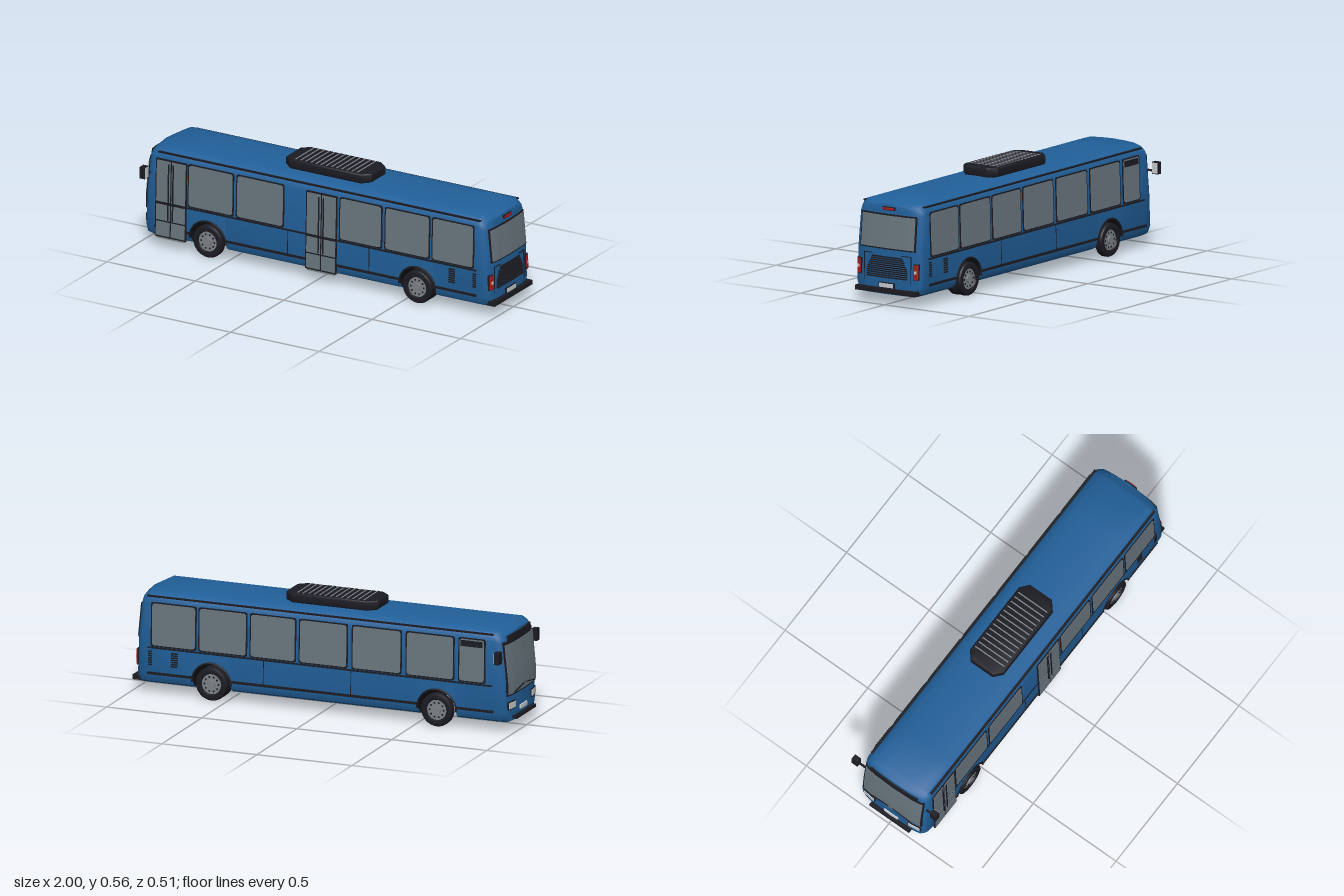
import * as THREE from 'three';
import { toCreasedNormals } from 'three/addons/utils/BufferGeometryUtils.js';

const mat = (name, color) => Object.assign(new THREE.MeshStandardMaterial({ color }), { name });

// Linear interpolation through [key, value] pairs with rising keys
function lookup(pairs, k) {
  for (let i = 1; i < pairs.length; i++) {
    const [a, va] = pairs[i - 1], [b, vb] = pairs[i];
    if (k <= b) return b === a ? vb : va + (vb - va) * Math.max(0, (k - a) / (b - a));
  }
  return pairs[pairs.length - 1][1];
}

// Half cross-section [height, half width]
const SECTION = [[0.05, 0], [0.05, 0.165], [0.062, 0.185], [0.1, 0.201], [0.3, 0.1948], [0.455, 0.19],
  [0.48, 0.183], [0.498, 0.165], [0.508, 0.13], [0.513, 0.07], [0.515, 0]];
// Rounded ends: [width factor, distance from middle, height factor]
const END = [[0, 0.982, 0.95], [0.6, 0.978, 0.95], [0.88, 0.97, 0.955], [0.95, 0.96, 0.968], [0.985, 0.945, 0.985], [1, 0.91, 1]];
const AXLES = [-0.61, 0.575], ARCH = 0.1, AXLE_Y = 0.084;

const halfWidth = (y) => lookup(SECTION.slice(1), y);
const sidePlane = (y) => 0.201 - 0.031 * (y - 0.1);
const lean = (y) => 0.09 * Math.max(0, y - 0.25);
const endPlane = (y, z) => lookup(END, Math.abs(z) / halfWidth(y)) - lean(y);

export function createModel() {
  const blue = mat('bodyBlue', 0x21609a), dark = mat('darkTrim', 0x1b1b23), glass = mat('greyGlass', 0x6a777f);
  const white = mat('lightGrey', 0xc9ced2), red = mat('lampRed', 0xa81c1c), metal = mat('wheelMetal', 0x7d8387);
  const well = mat('wheelWell', 0x17171c);
  well.side = THREE.DoubleSide;
  const bus = new THREE.Group();
  bus.name = 'bus';
  const add = (name, geo, m, x = 0, y = 0, z = 0, parent = bus) => {
    const mesh = new THREE.Mesh(geo, m);
    mesh.name = name;
    mesh.position.set(x, y, z);
    parent.add(mesh);
    return mesh;
  };
  const box = (name, x0, x1, y0, y1, z0, z1, m) =>
    add(name, new THREE.BoxGeometry(x1 - x0, y1 - y0, z1 - z0), m, (x0 + x1) / 2, (y0 + y1) / 2, (z0 + z1) / 2);

  // Body lofted along x, cut by the wheel arches
  const stations = END.map(([f, x, s]) => ({ x: -x, f, s, floor: 0 }));
  for (const c of AXLES) {
    stations.push({ x: c - ARCH, f: 1, s: 1, floor: 0 });
    for (let i = 0; i <= 16; i++) {
      const a = Math.PI * (1 - i / 16);
      stations.push({ x: c + ARCH * Math.cos(a), f: 1, s: 1, floor: AXLE_Y + ARCH * Math.sin(a), cut: true });
    }
    stations.push({ x: c + ARCH, f: 1, s: 1, floor: 0 });
  }
  for (const [f, x, s] of [...END].reverse()) stations.push({ x, f, s, floor: 0 });
  const n = SECTION.length, ring = 2 * n - 2, pos = [], bodyIdx = [], wellIdx = [];
  stations.forEach((st) => {
    for (let i = 0; i < ring; i++) {
      const k = i < n ? i : ring - i, level = SECTION[k], y = Math.max(level[0], st.floor);
      const w = y > level[0] && k > 0 ? halfWidth(y) : level[1];
      const yy = 0.05 + (y - 0.05) * st.s;
      const x = Math.abs(st.x) > 0.92 ? st.x - Math.sign(st.x) * lean(yy) : st.x;
      pos.push(x, yy, (i < n ? 1 : -1) * w * st.f);
    }
  });
  for (let s = 0; s + 1 < stations.length; s++) {
    for (let i = 0; i < ring; i++) {
      const j = (i + 1) % ring, a = s * ring + i, b = s * ring + j, c = a + ring, d = b + ring;
      const inWell = (i === 0 || i === ring - 1) && (stations[s].cut || stations[s + 1].cut);
      (inWell ? wellIdx : bodyIdx).push(a, c, b, b, c, d);
    }
  }
  for (const [name, idx, m] of [['body', bodyIdx, blue], ['wheelWells', wellIdx, well]]) {
    const g = new THREE.BufferGeometry();
    g.setAttribute('position', new THREE.Float32BufferAttribute(pos, 3));
    g.setIndex(idx);
    add(name, toCreasedNormals(g, 0.6), m);
  }

  // Thin rounded plate lying on a side wall
  function sidePlate(name, side, x0, x1, y0, y1, off, m, r = 0.002) {
    const [a, b] = side > 0 ? [x0, x1] : [-x1, -x0], sh = new THREE.Shape(), d = 0.006;
    sh.moveTo(a + r, y0).lineTo(b - r, y0).quadraticCurveTo(b, y0, b, y0 + r).lineTo(b, y1 - r);
    sh.quadraticCurveTo(b, y1, b - r, y1).lineTo(a + r, y1).quadraticCurveTo(a, y1, a, y1 - r);
    sh.lineTo(a, y0 + r).quadraticCurveTo(a, y0, a + r, y0);
    const g = new THREE.ExtrudeGeometry(sh, { depth: d, bevelEnabled: false, curveSegments: 4 });
    if (side < 0) g.rotateY(Math.PI);
    const p = g.attributes.position;
    for (let i = 0; i < p.count; i++) p.setZ(i, p.getZ(i) + side * (sidePlane(p.getY(i)) + off - d));
    g.computeVertexNormals();
    return add(name, g, m);
  }
  // Thin plate following the curved front (-1) or rear (+1)
  function endPlate(name, end, z0, z1, y0, y1, off, m) {
    const g = new THREE.BoxGeometry(0.008, y1 - y0, z1 - z0, 1, 4, 16);
    g.translate(0, (y0 + y1) / 2, (z0 + z1) / 2);
    const p = g.attributes.position;
    for (let i = 0; i < p.count; i++) p.setX(i, p.getX(i) + end * (endPlane(p.getY(i), p.getZ(i)) + off - 0.004));
    g.computeVertexNormals();
    return add(name, g, m);
  }

  // Side windows
  const shared = [[0.136, 0.37], [0.393, 0.64], [0.66, 0.89]];
  const windows = {
    1: [[-0.72, -0.47], [-0.447, -0.185], ...shared],
    '-1': [[-0.86, -0.727], [-0.697, -0.45], [-0.42, -0.166], [-0.136, 0.112], ...shared],
  };
  for (const side of [1, -1]) {
    for (const [a, b] of windows[side]) {
      sidePlate('windowFrame', side, a - 0.005, b + 0.005, 0.24, 0.462, 0.003, dark, 0.012);
      sidePlate('sideWindow', side, a + 0.002, b - 0.002, 0.247, 0.456, 0.005, glass, 0.015);
    }
    // Long trim lines, panel seams and engine vents
    sidePlate('beltLine', side, -0.9, 0.91, 0.23, 0.238, 0.004, dark);
    for (const [a, b] of [[-0.91, -0.715], [-0.505, 0.47], [0.68, 0.91]]) sidePlate('skirtLine', side, a, b, 0.1, 0.112, 0.005, dark);
    box('gutter', -0.9, 0.92, 0.484, 0.491, side > 0 ? 0.165 : -0.184, side > 0 ? 0.184 : -0.165, dark);
    for (const x of [-0.16, 0.3]) sidePlate('panelSeam', side, x, x + 0.004, 0.112, 0.23, 0.001, dark, 0.001);
    for (let i = 0; i < 7; i++) {
      sidePlate('sideVent', side, 0.752, 0.788, 0.145 + i * 0.011, 0.152 + i * 0.011, 0.003, dark);
      sidePlate('rearSideVent', side, 0.888, 0.908, 0.145 + i * 0.011, 0.152 + i * 0.011, 0.003, dark);
    }
  }
  sidePlate('driverWindowVent', -1, -0.85, -0.735, 0.42, 0.45, 0.007, dark);

  // Double doors on the kerb side
  for (const x of [-0.906, -0.056]) {
    sidePlate('doorFrame', 1, x, x + 0.176, 0.058, 0.46, 0.004, dark, 0.006);
    for (const leaf of [0, 1]) {
      const a = x + 0.007 + leaf * 0.085, b = a + 0.077;
      for (const [y0, y1] of [[0.066, 0.138], [0.146, 0.226], [0.241, 0.452]]) sidePlate('doorGlass', 1, a, b, y0, y1, 0.007, glass);
      sidePlate('doorHandle', 1, leaf ? a + 0.006 : b - 0.012, leaf ? a + 0.012 : b - 0.006, 0.15, 0.44, 0.011, dark);
    }
    box('doorStep', x + 0.01, x + 0.166, 0.05, 0.06, 0.15, 0.205, metal);
  }

  // Wheels, doubled at the rear
  const tyreProfile = [[0.05, -0.02], [0.07, -0.022], [0.079, -0.019], [0.083, -0.012], [0.083, 0.012], [0.079, 0.019],
    [0.07, 0.022], [0.054, 0.02], [0.05, 0.012]].map(([r, h]) => new THREE.Vector2(r, h));
  const tyreGeo = toCreasedNormals(new THREE.LatheGeometry(tyreProfile, 32).rotateX(Math.PI / 2), 0.5);
  const disc = (r, h, k = 24) => new THREE.CylinderGeometry(r, r, h, k).rotateX(Math.PI / 2);
  for (const x of AXLES) for (const side of [1, -1]) {
    for (const z of x > 0 ? [0.185, 0.138] : [0.185]) {
      const wheel = new THREE.Group();
      wheel.name = 'wheel';
      wheel.position.set(x, 0.083, side * z);
      if (side < 0) wheel.rotation.y = Math.PI;
      add('tyre', tyreGeo, dark, 0, 0, 0, wheel);
      add('rim', disc(0.052, 0.026), metal, 0, 0, 0, wheel);
      add('hub', disc(0.02, 0.014, 16), metal, 0, 0, 0.014, wheel);
      for (let i = 0; i < 10; i++) {
        const a = i * Math.PI / 5;
        add('rimHole', disc(0.005, 0.002, 8), dark, 0.037 * Math.cos(a), 0.037 * Math.sin(a), 0.0135, wheel);
      }
      bus.add(wheel);
    }
    add('archTrim', new THREE.TorusGeometry(0.103, 0.005, 6, 28, Math.PI), dark, x, AXLE_Y, side * 0.2);
  }
  for (const x of AXLES) add('axle', disc(0.015, 0.3, 12), dark, x, 0.083, 0);

  // Roof cooling unit with chamfered plan and slats
  const plan = new THREE.Shape([[-0.235, -0.06], [-0.2, -0.09], [0.19, -0.09], [0.225, -0.06], [0.225, 0.06], [0.19, 0.09],
    [-0.2, 0.09], [-0.235, 0.06]].map(([x, y]) => new THREE.Vector2(x, y)));
  const unit = new THREE.ExtrudeGeometry(plan, { depth: 0.026, bevelThickness: 0.012, bevelSize: 0.012, bevelSegments: 3 });
  add('roofUnit', toCreasedNormals(unit.rotateX(-Math.PI / 2), 0.5), dark, 0, 0.522, 0);
  for (let i = 0; i < 13; i++) box('roofSlat', -0.183 + i * 0.029, -0.177 + i * 0.029, 0.556, 0.5625, -0.088, 0.088, metal);

  // Rear: window, grille, lamps, plate and bumper
  endPlate('rearWindowFrame', 1, -0.163, 0.163, 0.272, 0.444, 0.006, dark);
  endPlate('rearWindow', 1, -0.156, 0.156, 0.279, 0.437, 0.009, glass);
  for (let i = 0; i < 11; i++) {
    const w = i < 5 ? 0.12 : 0.12 - (i - 4) * 0.005;
    endPlate('grilleSlat', 1, -w, w, 0.13 + i * 0.01, 0.136 + i * 0.01, 0.004, dark);
  }
  for (const s of [1, -1]) {
    endPlate('hatchSeam', 1, s * 0.138 - 0.001, s * 0.138 + 0.001, 0.11, 0.247, 0.003, dark);
    endPlate('hatchTopSeam', 1, s * 0.112 - 0.026, s * 0.112 + 0.026, 0.245, 0.248, 0.003, dark);
    endPlate('tailLampFrame', 1, s * 0.168 - 0.014, s * 0.168 + 0.014, 0.135, 0.214, 0.006, dark);
    endPlate('tailLamp', 1, s * 0.168 - 0.012, s * 0.168 + 0.012, 0.138, 0.211, 0.009, red);
    endPlate('reverseLamp', 1, s * 0.168 - 0.005, s * 0.168 + 0.005, 0.167, 0.181, 0.012, white);
  }
  endPlate('brakeLampFrame', 1, -0.036, 0.036, 0.462, 0.479, 0.008, dark);
  endPlate('brakeLamp', 1, -0.032, 0.032, 0.465, 0.476, 0.011, red);
  endPlate('plateFrame', 1, -0.047, 0.047, 0.08, 0.108, 0.006, dark);
  endPlate('numberPlate', 1, -0.041, 0.041, 0.084, 0.104, 0.009, white);
  box('rearBumper', 0.945, 1, 0.057, 0.08, -0.178, 0.178, dark);

  // Front: windscreen, sign, wipers, lamps and bumper
  endPlate('windscreenFrame', -1, -0.176, 0.176, 0.182, 0.452, 0.005, dark);
  endPlate('windscreen', -1, -0.169, 0.169, 0.19, 0.437, 0.008, glass);
  endPlate('destinationSign', -1, -0.14, 0.14, 0.45, 0.478, 0.008, dark);
  for (const s of [1, -1]) {
    const wiper = add('wiper', new THREE.BoxGeometry(0.005, 0.004, 0.12), dark, -0.991, 0.205, s * 0.07);
    wiper.rotation.x = s * 0.15;
    endPlate('headlampFrame', -1, s * 0.135 - 0.037, s * 0.135 + 0.037, 0.112, 0.152, 0.005, dark);
    endPlate('headlamp', -1, s * 0.135 - 0.032, s * 0.135 + 0.032, 0.117, 0.147, 0.008, white);
    // Door mirrors on short arms
    box('mirrorArm', -0.95, -0.94, 0.37, 0.379, s * 0.205 - 0.02, s * 0.205 + 0.02, dark);
    box('mirrorHousing', -0.962, -0.934, 0.36, 0.42, s * 0.237 - 0.0175, s * 0.237 + 0.0175, dark);
    box('mirrorGlass', -0.936, -0.931, 0.364, 0.416, s * 0.237 - 0.015, s * 0.237 + 0.015, white);
  }
  endPlate('frontPlate', -1, -0.041, 0.041, 0.09, 0.11, 0.007, white);
  box('frontBumper', -1, -0.96, 0.06, 0.075, -0.12, 0.12, dark);
  return bus;
}
